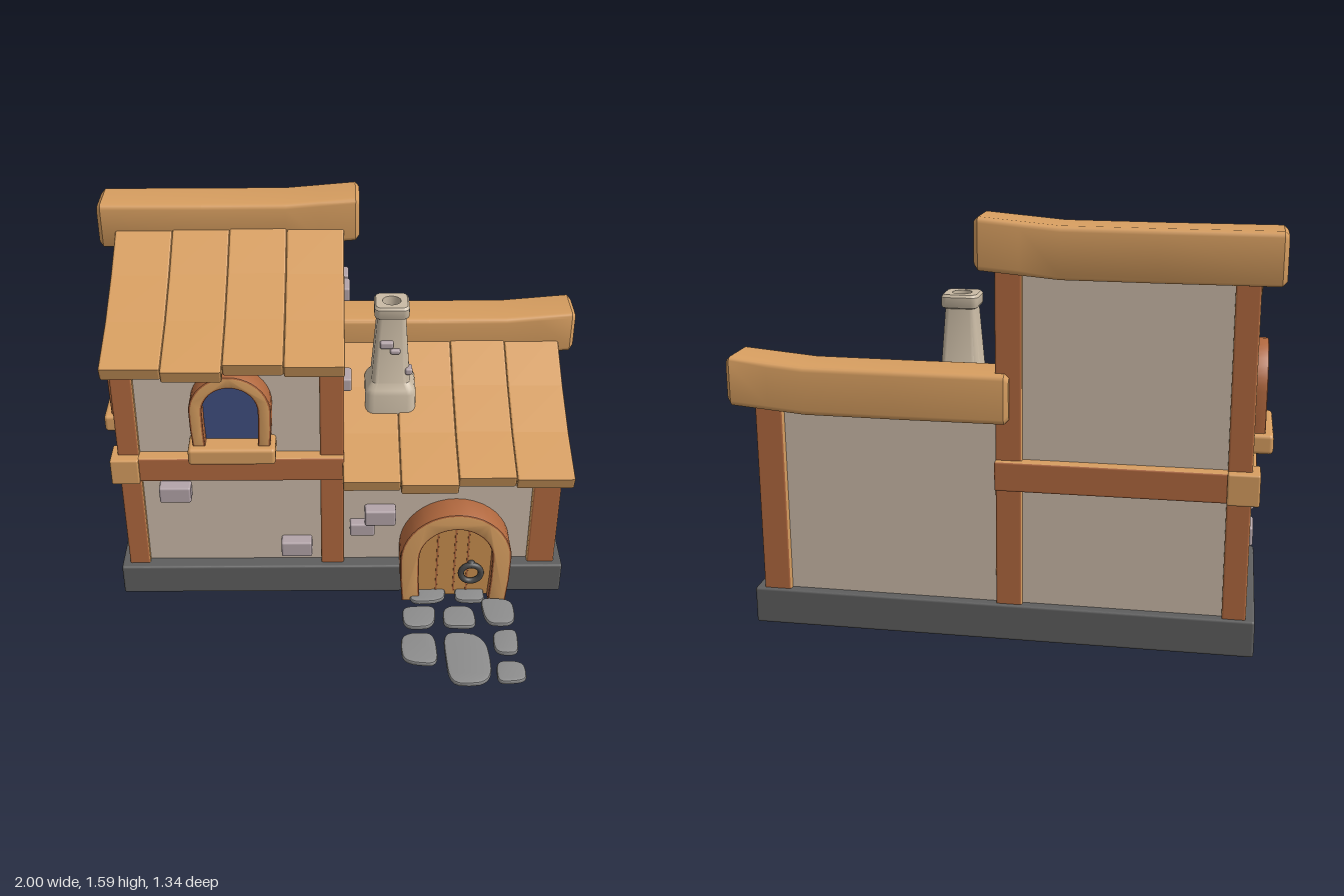
import * as THREE from 'three';
import { toCreasedNormals } from 'three/addons/utils/BufferGeometryUtils.js';
import { RoundedBoxGeometry } from 'three/addons/geometries/RoundedBoxGeometry.js';

const mat = (name, color) => {
  const m = new THREE.MeshStandardMaterial({ color });
  m.name = name;
  return m;
};
const tan = mat('light wood', 0xd79e60);
const red = mat('dark wood', 0xb1683e);
const plaster = mat('plaster', 0xcab9a8);
const slate = mat('slate base', 0x5e5e5e);
const brickMat = mat('brick', 0xb3a4a9);
const chimneyMat = mat('chimney stone', 0xcabba5);
const glass = mat('glass', 0x3f4e80);
const paving = mat('paving', 0x8d8d8d);
const doorMat = mat('door wood', 0xc98f4e);
const iron = mat('iron', 0x484848);

const POST = [tan, tan, tan, tan, red, red]; // tan on the x faces
const BEAM = [red, red, tan, red, red, red];

function add(parent, name, geo, material, x = 0, y = 0, z = 0) {
  const m = new THREE.Mesh(geo, material);
  m.name = name;
  m.position.set(x, y, z);
  parent.add(m);
  return m;
}

// Rounded box given by its limits
function box(parent, name, material, x0, x1, y0, y1, z0, z1, r = 0.008) {
  const geo = new RoundedBoxGeometry(x1 - x0, y1 - y0, z1 - z0, 2, r);
  return add(parent, name, geo, material, (x0 + x1) / 2, (y0 + y1) / 2, (z0 + z1) / 2);
}

// Profile of [z, y] points extruded from x0 to x1
function extrudeX(points, x0, x1, bevel = 0) {
  const shape = new THREE.Shape(points.map(([z, y]) => new THREE.Vector2(-z, y)));
  const geo = new THREE.ExtrudeGeometry(shape, {
    depth: x1 - x0 - 2 * bevel, bevelEnabled: bevel > 0, bevelSize: bevel,
    bevelOffset: -bevel, bevelThickness: bevel, bevelSegments: 2,
  });
  return geo.rotateY(Math.PI / 2).translate(x0 + bevel, 0, 0);
}

// Rounded rectangle outline, counterclockwise
function ring(a, b, r, n = 4) {
  const pts = [];
  [[1, 1], [-1, 1], [-1, -1], [1, -1]].forEach(([sx, sy], c) => {
    for (let i = 0; i <= n; i++) {
      const t = (c + i / n) * Math.PI / 2;
      pts.push([sx * (a - r) + r * Math.cos(t), sy * (b - r) + r * Math.sin(t)]);
    }
  });
  return pts;
}

// Skin over equal rings of 3D points, closed at both ends
function loft(rings) {
  const n = rings[0].length, pos = rings.flat(2), idx = [];
  rings.forEach((_, k) => {
    if (k === rings.length - 1) return;
    for (let i = 0; i < n; i++) {
      const a = k * n + i, b = k * n + (i + 1) % n;
      idx.push(a, b, b + n, a, b + n, a + n);
    }
  });
  const last = (rings.length - 1) * n;
  for (let i = 1; i < n - 1; i++) idx.push(0, i + 1, i, last, last + i, last + i + 1);
  const geo = new THREE.BufferGeometry();
  geo.setAttribute('position', new THREE.Float32BufferAttribute(pos, 3));
  geo.setIndex(idx);
  return toCreasedNormals(geo, 0.6);
}

// Arch outline of half width r with its spring line at cy; the foot is slightly narrower
function archPoints(r, cy) {
  const pts = [new THREE.Vector2(r * 0.95, 0), new THREE.Vector2(r * 0.99, cy * 0.5)];
  for (let i = 0; i <= 20; i++) {
    const t = i / 20 * Math.PI;
    pts.push(new THREE.Vector2(r * Math.cos(t), cy + r * Math.sin(t)));
  }
  pts.push(new THREE.Vector2(-r * 0.99, cy * 0.5), new THREE.Vector2(-r * 0.95, 0));
  return pts;
}

// Arched frame with a filled panel
function arch(parent, name, ro, ri, cy, z0, z1, panelMat, panelZ) {
  const bevel = 0.008;
  const outline = [...archPoints(ro, cy), ...archPoints(ri, cy).reverse()];
  const frame = new THREE.ExtrudeGeometry(new THREE.Shape(outline), {
    depth: z1 - z0 - 2 * bevel, bevelSize: bevel, bevelOffset: -bevel,
    bevelThickness: bevel, bevelSegments: 2,
  });
  add(parent, name + 'Frame', toCreasedNormals(frame, 0.6), [tan, red], 0, 0, z0 + bevel);
  const panel = new THREE.ExtrudeGeometry(new THREE.Shape(archPoints(ri + 0.01, cy)),
    { depth: panelZ - z0, bevelEnabled: false });
  add(parent, name + 'Panel', panel, panelMat, 0, 0, z0);
}

function windowUnit(name) {
  const g = new THREE.Group();
  g.name = name;
  arch(g, 'window', 0.163, 0.11, 0.163, 0.02, 0.115, glass, 0.06);
  box(g, 'windowSill', tan, -0.175, 0.175, -0.07, 0.005, 0.02, 0.145, 0.015);
  return g;
}

// Roof surface height above z for the lower house
const ROOF = [[0.2, 0.66], [-0.06, 0.735], [-0.28, 0.825], [-0.52, 0.945]];
const LIFT = 0.53;

function plankRoof(parent, x0, lift) {
  const ends = [0.185, 0.205, 0.175, 0.18];
  for (let i = 0; i < 4; i++) {
    const e = ends[i], dy = lift + (i % 2 ? 0.004 : 0) + (i === 2 ? 0.008 : 0);
    const top = [[e, 0.66 - (e - 0.2) * 0.29], ...ROOF.slice(1)];
    const under = top.map(([z, y], k) => [z - (k ? 0 : 0.016), y - 0.053]).reverse();
    const profile = [...top, ...under].map(([z, y]) => [z, y + dy]);
    add(parent, 'roofPlank', extrudeX(profile, x0 + i * 0.234, x0 + (i + 1) * 0.234, 0.008), tan);
  }
}

// Ridge beam turning up towards its +x end
function ridge(parent, x0, x1, yc, h) {
  const stops = [[0, 0.015], [0.015, 0], [0.4, 0], [0.72, 0], [0.85, 0], [0.985, 0], [1, 0.015]];
  const rings = stops.map(([t, s]) => {
    const dy = 0.028 * Math.max(0, (t - 0.7) / 0.3);
    return ring(h - s, 0.097 - s, 0.02).map(([p, q]) => [x0 + t * (x1 - x0), yc + dy + p, q - 0.578]);
  });
  add(parent, 'ridgeBeam', loft(rings), tan);
}

function walls(parent, name, x0, x1, lift) {
  const top = [[0.03, 0.71], ...ROOF.slice(1), [-0.62, 0.96]].map(([z, y]) => [z, y - 0.035 + lift]);
  add(parent, name, extrudeX([[0.03, 0.02], ...top, [-0.62, 0.02]], x0, x1), plaster);
}

function stone(parent, x, z, w, d, seed) {
  const pts = [];
  for (let i = 0; i < 24; i++) {
    const t = i / 24 * Math.PI * 2, c = Math.cos(t), s = Math.sin(t);
    const k = (1 + 0.05 * Math.sin(2 * t + seed) + 0.04 * Math.sin(3 * t + seed * 2)) * 0.94;
    pts.push(new THREE.Vector2(Math.sign(c) * Math.abs(c) ** 0.6 * w / 2 * k, Math.sign(s) * Math.abs(s) ** 0.6 * d / 2 * k));
  }
  const geo = new THREE.ExtrudeGeometry(new THREE.Shape(pts), {
    depth: 0.008, bevelSize: 0.01, bevelOffset: -0.01, bevelThickness: 0.007, bevelSegments: 2,
  }).rotateX(-Math.PI / 2);
  add(parent, 'pavingStone', toCreasedNormals(geo, 0.7), paving, x, 0.012, z);
}

export function createModel() {
  const g = new THREE.Group();
  g.name = 'cottage';

  // Base and walls
  box(g, 'base', slate, -0.95, 0.94, 0.008, 0.15, -0.655, 0.09, 0.01);
  box(g, 'floorUnderside', plaster, -0.92, 0.915, 0.003, 0.011, -0.63, 0.065, 0.001);
  walls(g, 'towerWalls', -0.885, -0.012, LIFT);
  walls(g, 'houseWalls', -0.012, 0.88, 0);

  // Corner posts
  for (const [x0, x1] of [[-0.917, -0.83], [-0.095, 0.002]]) {
    box(g, 'towerFrontPost', POST, x0, x1, 0.13, 1.2, -0.03, 0.06);
    box(g, 'towerBackPost', POST, x0, x1, 0.13, 1.43, -0.643, -0.55);
  }
  box(g, 'houseFrontPost', POST, 0.79, 0.905, 0.13, 0.67, -0.05, 0.06);
  box(g, 'houseBackPost', POST, 0.8, 0.905, 0.13, 0.92, -0.643, -0.52);

  // Floor beams with corner blocks
  box(g, 'frontBeam', BEAM, -0.85, 0.003, 0.6, 0.712, 0.01, 0.085);
  box(g, 'backBeam', BEAM, -0.85, 0.003, 0.6, 0.712, -0.665, -0.6);
  box(g, 'sideBeam', BEAM, -0.932, -0.86, 0.6, 0.712, -0.6, 0.03);
  box(g, 'frontCornerBlock', tan, -0.945, -0.83, 0.597, 0.715, -0.015, 0.103);
  box(g, 'backCornerBlock', tan, -0.945, -0.83, 0.597, 0.715, -0.678, -0.56);

  // Roofs
  plankRoof(g, -0.93, LIFT);
  plankRoof(g, -0.003, 0);
  ridge(g, -1, 0.07, 1.472, 0.094);
  ridge(g, -0.05, 1, 0.943, 0.092);

  // Windows
  const front = windowUnit('frontWindow');
  front.position.set(-0.447, 0.79, 0);
  const side = windowUnit('sideWindow');
  side.position.set(-0.845, 0.79, -0.278);
  side.rotation.y = -Math.PI / 2;
  g.add(front, side);

  // Door with plank seams and ring handle
  const door = new THREE.Group();
  door.name = 'door';
  door.position.set(0.475, 0, 0);
  arch(door, 'door', 0.235, 0.155, 0.23, 0, 0.145, doorMat, 0.1);
  for (const [x, h] of [[-0.075, 0.35], [0, 0.385], [0.055, 0.37]])
    box(door, 'doorSeam', red, x - 0.004, x + 0.004, 0.02, h, 0.096, 0.102, 0.001);
  add(door, 'handleRing', new THREE.TorusGeometry(0.043, 0.013, 10, 28), iron, 0.07, 0.135, 0.12);
  add(door, 'handleBoss', new THREE.SphereGeometry(0.018, 12, 8), iron, 0.07, 0.178, 0.112);
  g.add(door);

  // Chimney
  const cx = 0.198, cz = -0.258;
  const sections = [[0.68, 0.105], [0.86, 0.105], [0.88, 0.098], [0.905, 0.08], [1.195, 0.058],
    [1.2, 0.068], [1.208, 0.071], [1.24, 0.071], [1.25, 0.064], [1.25, 0.038], [1.2, 0.038]];
  add(g, 'chimney', loft(sections.map(([y, a]) =>
    ring(a, a, a < 0.05 ? a : a * 0.35).map(([p, q]) => [cx + q, y, cz + p]))), chimneyMat);
  add(g, 'flue', new THREE.CircleGeometry(0.038, 20).rotateX(-Math.PI / 2), iron, cx, 1.203, cz);

  // Bricks standing out of the walls: centre and size
  for (const [x, y, z, w, h, d] of [
    [-0.695, 0.525, 0.05, 0.13, 0.075, 0.07], [-0.198, 0.236, 0.05, 0.13, 0.075, 0.07],
    [0.155, 0.4, 0.05, 0.13, 0.075, 0.07], [0.08, 0.332, 0.045, 0.105, 0.062, 0.06],
    [0.88, 0.66, -0.405, 0.065, 0.06, 0.105], [0.88, 0.556, -0.333, 0.065, 0.075, 0.13],
    [0, 1.258, -0.338, 0.06, 0.06, 0.1], [0, 1.275, -0.432, 0.05, 0.045, 0.085],
    [0, 0.95, -0.14, 0.07, 0.058, 0.1],
    [-0.9, 0.5, -0.31, 0.065, 0.058, 0.1], [-0.9, 0.395, -0.38, 0.065, 0.075, 0.13],
    [0.178, 1.085, cz + 0.07, 0.055, 0.032, 0.03], [0.213, 1.055, cz + 0.072, 0.042, 0.022, 0.028],
    [cx + 0.073, 0.96, -0.2, 0.03, 0.03, 0.052],
  ]) add(g, 'brick', new RoundedBoxGeometry(w, h, d, 2, 0.009), brickMat, x, y, z);

  // Paving stones before the door
  [[0.318, 0.267, 0.148, 0.14], [0.488, 0.27, 0.138, 0.145], [0.657, 0.235, 0.145, 0.17],
    [0.545, 0.12, 0.14, 0.11], [0.36, 0.12, 0.16, 0.12], [0.31, 0.46, 0.15, 0.2],
    [0.5, 0.518, 0.2, 0.305], [0.67, 0.422, 0.112, 0.145], [0.67, 0.597, 0.12, 0.13],
  ].forEach(([x, z, w, d], i) => stone(g, x, z, w, d, i * 1.7));

  return g;
}
